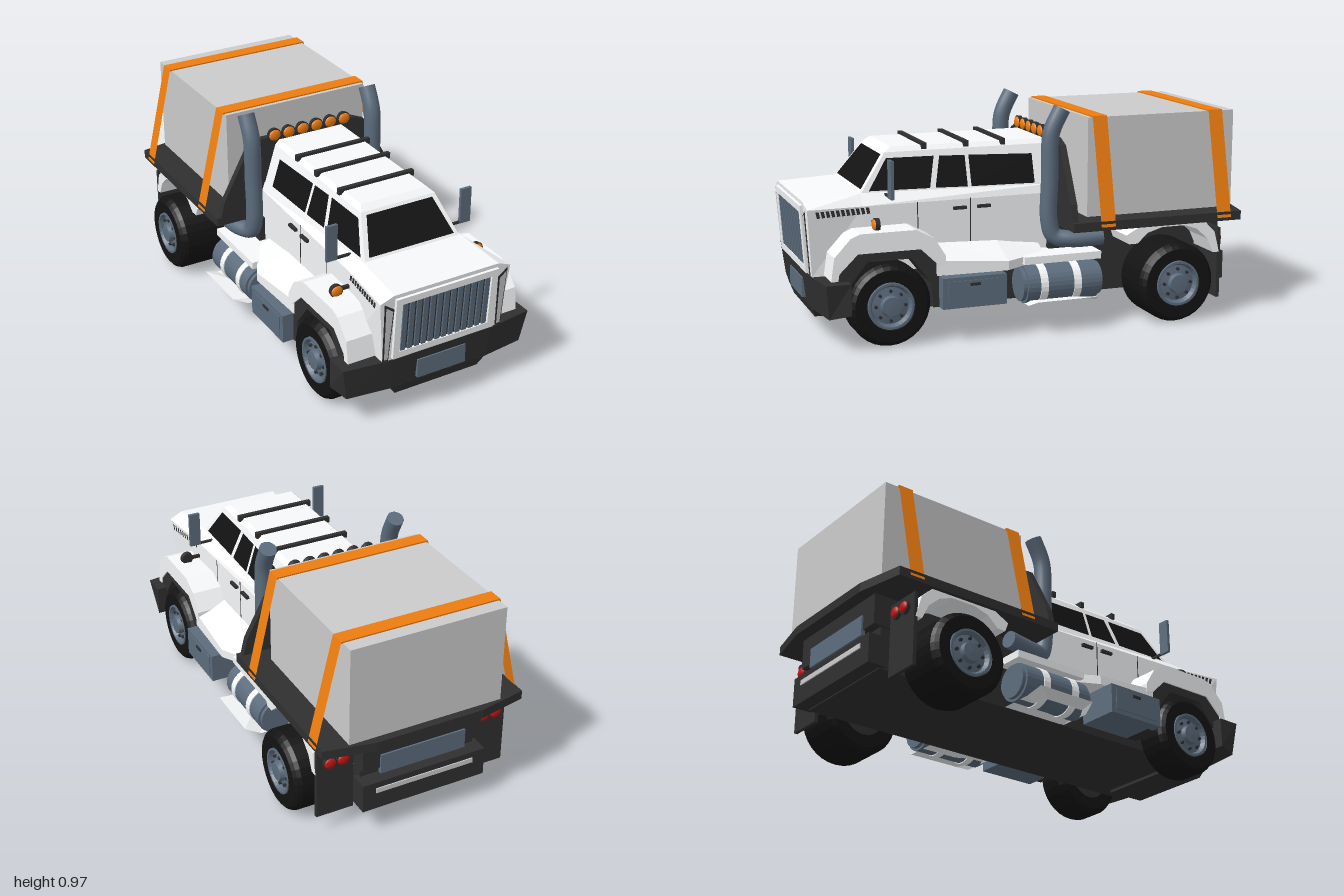
import * as THREE from 'three';

const WHITE = 0xf6f8fa, GREY = 0xcccccc, DARK = 0x303030, BLACK = 0x131313, STEEL = 0x5c6c7d, ORANGE = 0xee7d10, RED = 0xc41414;
const SIDES = [1, -1];

export function createModel() {
  const root = new THREE.Group();

  function add(name, geo, color, opt = {}, parent = root) {
    const mat = new THREE.MeshStandardMaterial({ color, flatShading: !opt.smooth });
    if (opt.thin) mat.side = THREE.DoubleSide;
    const m = new THREE.Mesh(geo, mat);
    m.name = name;
    parent.add(m);
    return m;
  }
  const box = (name, x0, x1, y0, y1, z0, z1, color) =>
    add(name, new THREE.BoxGeometry(Math.abs(x1 - x0), y1 - y0, z1 - z0)
      .translate((x0 + x1) / 2, (y0 + y1) / 2, (z0 + z1) / 2), color);

  // Flat polygon from ordered 3D corners
  function panel(name, pts, color) {
    const pos = [];
    for (let i = 1; i < pts.length - 1; i++) pos.push(...pts[0], ...pts[i], ...pts[i + 1]);
    const g = new THREE.BufferGeometry();
    g.setAttribute('position', new THREE.Float32BufferAttribute(pos, 3));
    g.computeVertexNormals();
    return add(name, g, color, { thin: true });
  }

  // Solid through matching rings of 3D points, capped at both ends
  function loft(name, rings, color) {
    const n = rings[0].length, tris = [];
    for (let r = 0; r < rings.length - 1; r++)
      for (let i = 0; i < n; i++) {
        const j = (i + 1) % n, a = rings[r], b = rings[r + 1];
        tris.push([a[i], a[j], b[j]], [a[i], b[j], b[i]]);
      }
    const first = rings[0], last = rings[rings.length - 1];
    for (let i = 1; i < n - 1; i++) tris.push([first[0], first[i + 1], first[i]], [last[0], last[i], last[i + 1]]);
    let vol = 0;
    const v = p => new THREE.Vector3(...p);
    for (const [a, b, c] of tris) vol += v(a).dot(v(b).cross(v(c)));
    const g = new THREE.BufferGeometry();
    g.setAttribute('position', new THREE.Float32BufferAttribute(
      tris.flatMap(([a, b, c]) => (vol > 0 ? [a, b, c] : [a, c, b]).flat()), 3));
    g.computeVertexNormals();
    return add(name, g, color);
  }
  // Ring symmetric in x from its +x half
  const sym = half => [...half, ...half.map(([x, y, z]) => [-x, y, z]).reverse()];

  const extrude = (pts, depth, hole) => {
    const s = new THREE.Shape(pts.map(p => new THREE.Vector2(...p)));
    if (hole) s.holes.push(new THREE.Path(hole.map(p => new THREE.Vector2(...p))));
    return new THREE.ExtrudeGeometry(s, { depth, bevelEnabled: false });
  };
  // (z, y) outline extruded from x0 to x1 on side s
  const sideExtrude = (name, pts, x0, x1, s, color) =>
    add(name, extrude(pts, x1 - x0).rotateY(-Math.PI / 2).translate(s > 0 ? x1 : -x0, 0, 0), color);

  // Hood and lower cab
  const sideX = z => z > 0.74 ? 0.285 + (z - 0.74) * 0.112 : 0.25 + (z + 0.12) * 0.0407;
  loft('body', [
    sym([[0.285, 0.295, 0.965], [0.313, 0.585, 0.985], [0.25, 0.612, 0.99]]),
    sym([[0.285, 0.29, 0.74], [0.285, 0.58, 0.74], [0.237, 0.626, 0.74]]),
    sym([[0.25, 0.29, -0.12], [0.25, 0.575, -0.12], [0.237, 0.612, -0.12]])], WHITE);
  // Upper cab
  const level = (x, y, zf, zb = -0.12) => [[x, y, zf], [x, y, zb], [-x, y, zb], [-x, y, zf]];
  loft('cab', [level(0.235, 0.61, 0.745), level(0.18, 0.785, 0.615), level(0.16, 0.805, 0.585)], WHITE);

  // Windows
  const wz = y => 0.75 - (y - 0.61) * 0.743;
  panel('windshield', [[-0.207, 0.638], [0.207, 0.638], [0.16, 0.775], [-0.16, 0.775]].map(([x, y]) => [x, y, wz(y)]), BLACK);
  const windows = [
    [[0.70, 0.632], [0.43, 0.628], [0.40, 0.76], [0.612, 0.762]],
    [[0.405, 0.628], [0.26, 0.624], [0.26, 0.755], [0.375, 0.759]],
    [[0.243, 0.624], [-0.05, 0.62], [-0.05, 0.745], [0.243, 0.755]]];
  for (const s of SIDES)
    for (const w of windows)
      panel('sideWindow', w.map(([z, y]) => [s * (0.238 - (y - 0.61) * 0.314), y, z]), BLACK);
  for (const z of [0.44, 0.25, 0.08]) box('roofBar', -0.185, 0.185, 0.79, 0.817, z - 0.01, z + 0.01, DARK);

  // Grille with slats, leaning with the nose
  const grille = new THREE.Group();
  grille.name = 'grille';
  grille.position.set(0, 0.45, 0.977);
  grille.rotation.x = 0.067;
  root.add(grille);
  const rect = (w, h) => [[-w, -h], [w, -h], [w, h], [-w, h]];
  add('grilleFrame', extrude(rect(0.245, 0.145), 0.014, rect(0.215, 0.115)), WHITE, {}, grille);
  add('grilleBack', new THREE.BoxGeometry(0.43, 0.23, 0.006), DARK, {}, grille);
  for (let i = 0; i < 13; i++)
    add('grilleSlat', new THREE.BoxGeometry(0.022, 0.23, 0.014).translate(-0.198 + i * 0.033, 0, 0.004), STEEL, {}, grille);

  // Front bumper, stepped down in the middle
  loft('bumper', [
    [[-0.455, 0.16, 0.84], [-0.455, 0.295, 0.84], [0.455, 0.295, 0.84], [0.455, 0.16, 0.84]],
    [[-0.43, 0.145, 0.93], [-0.455, 0.295, 0.945], [0.455, 0.295, 0.945], [0.43, 0.145, 0.93]],
    [[-0.23, 0.145, 0.955], [-0.25, 0.295, 0.972], [0.25, 0.295, 0.972], [0.23, 0.145, 0.955]]], DARK);
  loft('bumperChin', [
    sym([[0.235, 0.15, 0.956], [0.235, 0.15, 0.75]]),
    sym([[0.205, 0.102, 0.94], [0.205, 0.102, 0.75]])], DARK);
  box('frontPlate', -0.118, 0.118, 0.168, 0.255, 0.95, 0.974, STEEL);

  // Chassis and rear end
  box('chassis', -0.27, 0.27, 0.115, 0.3, -0.9, 0.86, DARK);
  box('rearFrame', -0.28, 0.28, 0.3, 0.44, -0.94, -0.1, DARK);
  box('rearBumper', -0.29, 0.29, 0.12, 0.25, -0.965, -0.88, DARK);
  box('rearPlate', -0.2, 0.2, 0.275, 0.365, -0.948, -0.93, STEEL);
  box('rearTrim', -0.23, 0.23, 0.2, 0.222, -0.97, -0.95, GREY);

  // Bed, headboard, cargo
  add('bed', extrude([[-0.47, 0.14], [0.47, 0.14], [0.47, 0.95], [0.25, 0.995], [-0.25, 0.995], [-0.47, 0.95]], 0.04)
    .rotateX(-Math.PI / 2).translate(0, 0.435, 0), DARK);
  add('headboard', extrude([[-0.455, 0.45], [0.455, 0.45], [0.43, 0.55], [0.30, 0.79], [0.24, 0.815],
    [-0.24, 0.815], [-0.30, 0.79], [-0.43, 0.55]], 0.03).translate(0, 0, -0.17), DARK);
  box('cargo', -0.355, 0.355, 0.475, 0.915, -0.96, -0.25, GREY);
  for (const z of [-0.302, -0.865]) {
    box('strapTop', -0.362, 0.362, 0.913, 0.921, z - 0.034, z + 0.034, ORANGE);
    for (const s of SIDES)
      panel('strapSide', [[s * 0.362, 0.921, z - 0.034], [s * 0.362, 0.921, z + 0.034],
        [s * 0.473, 0.45, z + 0.034], [s * 0.473, 0.45, z - 0.034]], ORANGE);
  }

  // Flattened round lamp facing along z
  const lamp = (name, x, y, z, r, color, dir = 1) => {
    add(name + 'Rim', new THREE.CylinderGeometry(r * 1.1, r, 0.02, 20).rotateX(dir * Math.PI / 2).translate(x, y, z), DARK, { smooth: true });
    add(name, new THREE.SphereGeometry(r, 20, 10).scale(1, 0.9, 0.4).translate(x, y, z + dir * 0.009), color, { smooth: true });
  };
  for (let i = 0; i < 6; i++) lamp('roofLamp', -0.179 + i * 0.0716, 0.828, -0.135, 0.029, ORANGE);

  // Wheel at side s from xi to xo, revolved around x
  function wheel(name, z, xi, xo, s) {
    const g = new THREE.Group();
    g.name = name;
    const w = (xo - xi) / 2;
    const lathe = pts => new THREE.LatheGeometry(pts.map(p => new THREE.Vector2(...p)), 32).rotateZ(-Math.PI / 2);
    add('tyre', lathe([[0.1, -w], [0.155, -w], [0.17, -w + 0.012], [0.178, -w + 0.03], [0.178, w - 0.03], [0.17, w - 0.012],
      [0.155, w], [0.105, w], [0.098, w - 0.02]]), BLACK, {}, g);
    add('rim', lathe([[0.1, w - 0.02], [0.1, w + 0.002], [0.09, w + 0.002], [0.08, w - 0.018], [0.045, w - 0.012], [0.04, w + 0.008], [0, w + 0.01]]),
      STEEL, {}, g);
    add('innerDisc', new THREE.CylinderGeometry(0.101, 0.101, 0.01, 24).rotateZ(Math.PI / 2).translate(-w + 0.006, 0, 0), DARK, {}, g);
    for (let i = 0; i < 8; i++) {
      const a = i * Math.PI / 4;
      add('lugNut', new THREE.CylinderGeometry(0.007, 0.007, 0.014, 6).rotateZ(Math.PI / 2)
        .translate(w - 0.011, 0.064 * Math.cos(a), 0.064 * Math.sin(a)), DARK, {}, g);
    }
    g.position.set(s * (xi + xo) / 2, 0.178, z);
    if (s < 0) g.rotation.y = Math.PI;
    root.add(g);
  }

  for (const s of SIDES) {
    wheel('frontWheel', 0.665, 0.27, 0.43, s);
    wheel('rearWheel', -0.625, 0.27, 0.51, s);

    // Headlight, hood vents, door seam and handles
    panel('headlightFrame', [[s * 0.25, 0.55, 0.991], [s * 0.296, 0.583, 0.991], [s * 0.29, 0.3, 0.972], [s * 0.262, 0.3, 0.972]], DARK);
    panel('headlight', [[s * 0.257, 0.543, 0.994], [s * 0.29, 0.568, 0.994], [s * 0.284, 0.31, 0.976], [s * 0.267, 0.31, 0.976]], GREY);
    for (let i = 0; i < 11; i++) {
      const z = 0.95 - i * 0.022, x = s * sideX(z);
      panel('hoodVent', [[x + s * 0.003, 0.575, z], [x + s * 0.003, 0.575, z - 0.014], [x + s * 0.003, 0.548, z - 0.02], [x + s * 0.003, 0.548, z - 0.006]], DARK);
    }
    for (const z of [0.5, 0.26]) box('doorSeam', s * 0.24, s * (sideX(z) + 0.001), 0.39, 0.58, z - 0.002, z + 0.002, DARK);
    for (const z of [0.31, 0.2]) box('doorHandle', s * 0.25, s * (sideX(z) + 0.014), 0.535, 0.548, z - 0.03, z + 0.03, DARK);

    // Front fender over a dark wheel arch
    sideExtrude('frontFender', [[0.915, 0.3], [0.9, 0.4], [0.83, 0.475], [0.79, 0.492], [0.55, 0.492], [0.47, 0.45], [0.42, 0.37],
      [0.42, 0.33], [0.45, 0.33], [0.53, 0.408], [0.8, 0.408], [0.88, 0.33], [0.885, 0.3]], 0.25, 0.415, s, WHITE);
    sideExtrude('frontArch', [[0.905, 0.2], [0.905, 0.33], [0.81, 0.412], [0.52, 0.412], [0.42, 0.33], [0.42, 0.15],
      [0.475, 0.15], [0.485, 0.26], [0.57, 0.37], [0.76, 0.37], [0.845, 0.26], [0.855, 0.2]], 0.25, 0.408, s, DARK);
    // Rear fender, mudflap, tail lamps
    sideExtrude('rearFender', [[-0.395, 0.40], [-0.5, 0.455], [-0.56, 0.468], [-0.69, 0.468], [-0.77, 0.445], [-0.83, 0.385], [-0.855, 0.29],
      [-0.825, 0.29], [-0.795, 0.355], [-0.74, 0.405], [-0.68, 0.425], [-0.57, 0.425], [-0.5, 0.405], [-0.45, 0.36], [-0.41, 0.36]], 0.26, 0.452, s, WHITE);
    box('mudflap', s * 0.28, s * 0.45, 0.08, 0.4, -0.862, -0.846, DARK);
    for (const x of [0.335, 0.395]) lamp('tailLamp', s * x, 0.345, -0.868, 0.027, RED, -1);

    // Sill, toolbox, tank and its guard plates
    loft('sill', [
      [[s * 0.24, 0.41, 0.46], [s * 0.41, 0.35, 0.46], [s * 0.41, 0.285, 0.46], [s * 0.24, 0.285, 0.46]],
      [[s * 0.24, 0.39, 0.14], [s * 0.42, 0.325, 0.14], [s * 0.42, 0.285, 0.14], [s * 0.24, 0.285, 0.14]],
      [[s * 0.24, 0.36, -0.06], [s * 0.31, 0.325, -0.06], [s * 0.31, 0.29, -0.06], [s * 0.24, 0.29, -0.06]]], WHITE);
    box('step', s * 0.25, s * 0.4, 0.295, 0.328, -0.3, 0.06, WHITE);
    box('toolbox', s * 0.25, s * 0.46, 0.15, 0.283, 0.165, 0.45, STEEL);
    box('toolboxLid', s * 0.44, s * 0.464, 0.17, 0.268, 0.19, 0.425, STEEL);
    box('toolboxLatch', s * 0.45, s * 0.469, 0.245, 0.257, 0.285, 0.33, DARK);
    const cyl = (name, r, z0, z1, color) => add(name, new THREE.CylinderGeometry(r, r, z1 - z0, 28).rotateX(Math.PI / 2)
      .translate(s * 0.352, 0.2, (z0 + z1) / 2), color);
    cyl('tank', 0.085, -0.28, 0.055, STEEL);
    cyl('tankEnds', 0.074, -0.297, 0.072, STEEL);
    for (const z of [-0.02, -0.175]) cyl('tankBand', 0.089, z - 0.017, z + 0.017, WHITE);
    panel('tankGuard', [[s * 0.26, 0.118, 0.05], [s * 0.42, 0.118, 0.05], [s * 0.487, 0.148, 0.03],
      [s * 0.487, 0.148, -0.25], [s * 0.42, 0.118, -0.27], [s * 0.26, 0.118, -0.27]], WHITE);

    // Exhaust stack with bevelled tip
    const path = new THREE.CatmullRomCurve3([[0.36, 0.385, -0.32], [0.34, 0.38, -0.18], [0.315, 0.395, -0.11], [0.31, 0.46, -0.088],
      [0.31, 0.65, -0.09], [0.31, 0.83, -0.093], [0.31, 0.875, -0.105], [0.31, 0.953, -0.145]].map(([x, y, z]) => new THREE.Vector3(s * x, y, z)));
    add('exhaustStack', new THREE.TubeGeometry(path, 48, 0.038, 18), STEEL, { smooth: true, thin: true });
    for (const t of [0, 1]) {
      const cap = add('exhaustCap', new THREE.CircleGeometry(0.038, 18), STEEL, { thin: true });
      cap.position.copy(path.getPoint(t));
      cap.quaternion.setFromUnitVectors(new THREE.Vector3(0, 0, 1), path.getTangent(t));
    }

    // Mirror and fender lamp on short arms
    box('mirror', s * 0.302, s * 0.354, 0.612, 0.775, 0.624, 0.638, STEEL);
    box('mirrorArm', s * 0.225, s * 0.33, 0.612, 0.622, 0.626, 0.636, DARK);
    lamp('fenderLamp', s * 0.347, 0.512, 0.7, 0.027, ORANGE);
    box('lampArm', s * 0.26, s * 0.34, 0.505, 0.519, 0.69, 0.704, DARK);
  }
  return root;
}
